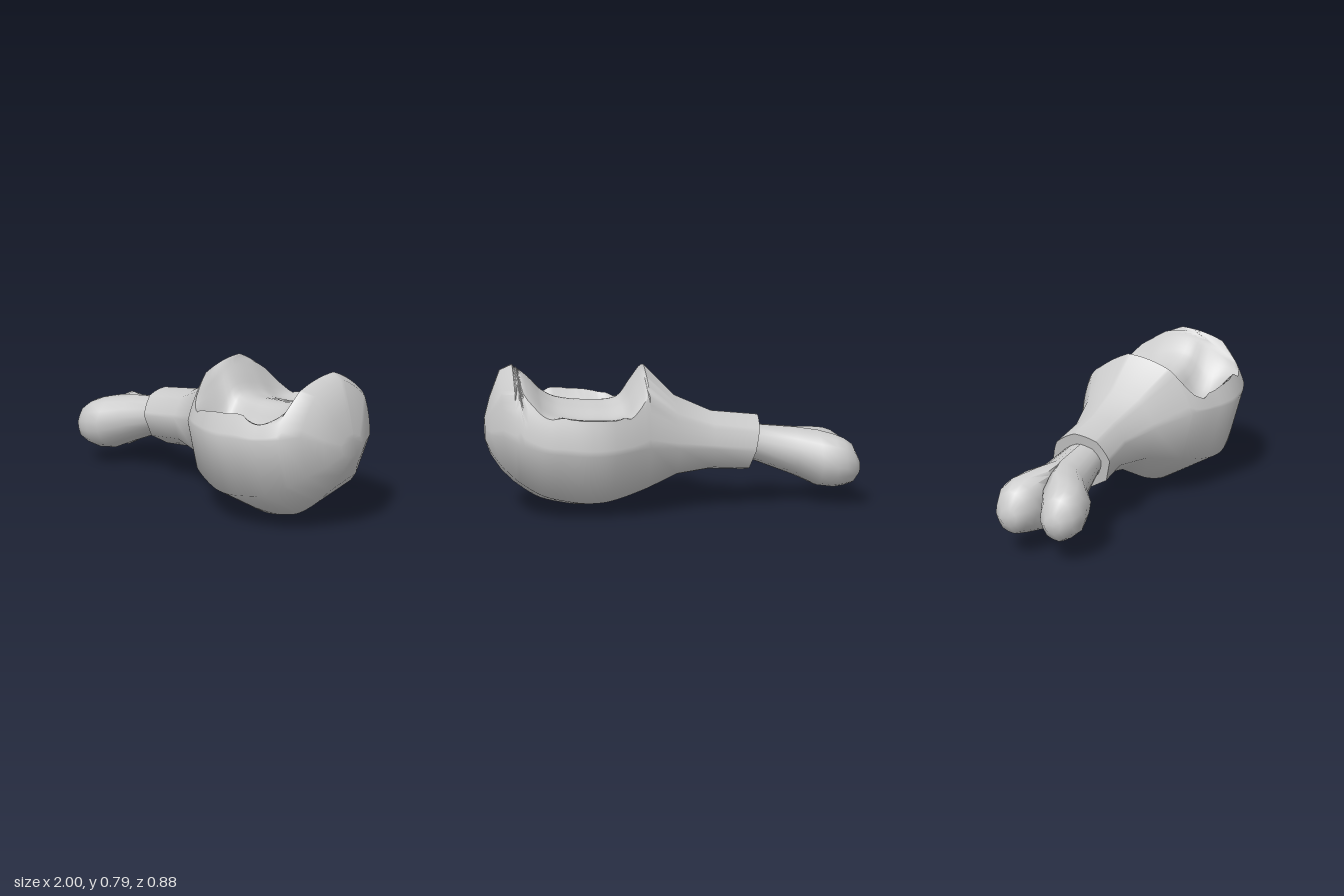
import * as THREE from 'three';
import { toCreasedNormals } from 'three/addons/utils/BufferGeometryUtils.js';

const material = new THREE.MeshStandardMaterial({ color: 0xcccccc });

// Skin closed rings (ordered by rising x) and cap both ends
function loft(rings, crease) {
  const n = rings[0].length, pos = [], index = [];
  rings.forEach(r => r.forEach(p => pos.push(p.x, p.y, p.z)));
  for (let i = 0; i < rings.length - 1; i++) {
    for (let j = 0; j < n; j++) {
      const a = i * n + j, b = i * n + (j + 1) % n;
      index.push(a, a + n, b, b, a + n, b + n);
    }
  }
  [0, rings.length - 1].forEach((row, end) => {
    const c = new THREE.Vector3();
    rings[row].forEach(p => c.addScaledVector(p, 1 / n));
    const centre = pos.length / 3;
    pos.push(c.x, c.y, c.z);
    for (let j = 0; j < n; j++) {
      const a = row * n + j, b = row * n + (j + 1) % n;
      index.push(centre, end ? b : a, end ? a : b);
    }
  });
  const g = new THREE.BufferGeometry();
  g.setAttribute('position', new THREE.Float32BufferAttribute(pos, 3));
  g.setIndex(index);
  return toCreasedNormals(g, crease);
}

// Smooth (Hermite) lookup in a table whose rows start with x
function sample(table, x) {
  const last = table.length - 1;
  let i = 0;
  while (i < last - 1 && x > table[i + 1][0]) i++;
  const a = table[i], b = table[i + 1], h = b[0] - a[0], t = (x - a[0]) / h;
  const slope = (m, k) => {
    const p = table[Math.max(m - 1, 0)], q = table[Math.min(m + 1, last)];
    return (q[k] - p[k]) / (q[0] - p[0]);
  };
  const s = t * t * (3 - 2 * t);
  return a.map((v, k) => v + (b[k] - v) * s
    + h * t * (1 - t) * ((1 - t) * slope(i, k) - t * slope(i + 1, k)));
}

// Point [z, y] on a softly rounded octagon; u counts corners from the front
function octagon(u) {
  const k = Math.floor(u), t = u - k, a = 0.14 + k * Math.PI / 4, b = a + Math.PI / 4;
  const z = Math.cos(a) * (1 - t) + Math.cos(b) * t;
  const y = Math.sin(a) * (1 - t) + Math.sin(b) * t;
  const swell = 0.5 + 0.5 / Math.hypot(z, y);
  return [z * swell, y * swell];
}

// Meat outline: x, top, bottom, back z, front z
const meatOutline = [
  [-0.425, 0.5, 0.187, -0.24, 0.09],
  [-0.2, 0.53, 0.2, -0.245, 0.075],
  [0, 0.62, 0.165, -0.29, 0.16],
  [0.16, 0.785, 0.075, -0.36, 0.31],
  [0.36, 0.84, 0.008, -0.435, 0.41],
  [0.48, 0.85, -0.003, -0.447, 0.44],
  [0.6, 0.85, 0.014, -0.43, 0.435],
  [0.72, 0.83, 0.05, -0.395, 0.41],
  [0.85, 0.795, 0.14, -0.32, 0.36],
  [0.915, 0.765, 0.21, -0.25, 0.285],
  [0.97, 0.62, 0.3, -0.15, 0.18],
  [1, 0.51, 0.39, -0.08, 0.08]
];

// Bite height along x, and its change across z: a shelf behind, a hollow in front
const biteAlong = [[0.16, 0.775], [0.22, 0.69], [0.29, 0.595], [0.45, 0.58], [0.62, 0.6], [0.7, 0.645], [0.77, 0.72], [0.86, 0.8]];
const biteAcross = [[-0.45, -0.04], [-0.38, -0.04], [-0.25, -0.05], [-0.12, -0.01], [0.06, 0], [0.15, -0.12], [0.24, -0.14], [0.37, 0], [0.45, 0.03]];

function biteFloor(x, z) {
  const fade = Math.min(1, (x - 0.16) / 0.14, (0.86 - x) / 0.24);
  return sample(biteAlong, x)[1] + sample(biteAcross, z)[1] * fade
    - 1.5 * (z + 0.02) ** 2 * (1 - fade);
}

function meatRing(x) {
  const [, top, bottom, back, front] = sample(meatOutline, x);
  const shell = u => {
    const [z, y] = octagon(u);
    return new THREE.Vector3(x, (top + bottom) / 2 + y * (top - bottom) / 2,
      (front + back) / 2 + z * (front - back) / 2);
  };
  // Find both rims of the bite
  const bitten = u => { const p = shell(u); return p.y > biteFloor(x, p.z); };
  const open = x > 0.165 && x < 0.85 && bitten(2);
  let u0 = 1, u1 = 3;
  if (open) {
    u0 = 0;
    u1 = 4;
    while (u0 < 2 && !bitten(u0)) u0 += 0.01;
    while (u1 > 2 && !bitten(u1)) u1 -= 0.01;
  }
  const ring = [], side = 6, across = 28;
  const rim0 = shell(u0), rim1 = shell(u1);
  for (let s = 0; s <= side; s++) ring.push(shell(u0 * s / side));
  for (let s = 1; s < across; s++) {
    const p = shell(u0 + (u1 - u0) * s / across);
    if (open) {
      p.z = rim0.z + (rim1.z - rim0.z) * s / across;
      p.y = Math.min(p.y, biteFloor(x, p.z));
    }
    ring.push(p);
  }
  for (let s = 0; s <= side; s++) ring.push(shell(u1 + (4 - u1) * s / side));
  for (let k = 5; k < 8; k++) ring.push(shell(k));
  // The cuff around the bone is cut on a slant
  if (x < -0.4) ring.forEach(p => { p.x += (0.345 - p.y) * 0.22; });
  return ring;
}

function meatGeometry() {
  const xs = meatOutline.map(r => r[0]);
  for (let x = 0.17; x < 0.86; x += 0.02) xs.push(x);
  xs.sort((a, b) => a - b);
  return loft(xs.map(meatRing), 1);
}

// One half of the forked bone: x, centre y, sideways offset, y radius, z radius
const boneOutline = [
  [-1, 0.215, 0.12, 0.045, 0.045],
  [-0.96, 0.23, 0.122, 0.11, 0.09],
  [-0.91, 0.24, 0.12, 0.135, 0.112],
  [-0.86, 0.245, 0.105, 0.15, 0.13],
  [-0.78, 0.255, 0.05, 0.158, 0.172],
  [-0.67, 0.286, 0, 0.137, 0.143],
  [-0.44, 0.343, 0, 0.102, 0.112],
  [-0.28, 0.37, 0, 0.09, 0.1]
];

// Each half stops at the middle plane, where the two grow together
function boneGeometry(side) {
  return loft(boneOutline.map(([x, cy, offset, ry, rz]) =>
    Array.from({ length: 16 }, (_, k) => {
      const [z, y] = octagon(k / 2);
      const out = Math.max(0, offset + side * z * rz);
      return new THREE.Vector3(x, cy + y * ry, -0.07 + side * out);
    })), 1);
}

export function createModel() {
  const group = new THREE.Group();
  group.name = 'bittenDrumstick';
  const add = (geometry, name) => {
    const mesh = new THREE.Mesh(geometry, material);
    mesh.name = name;
    group.add(mesh);
  };
  add(meatGeometry(), 'meat');
  add(boneGeometry(1), 'frontBoneHalf');
  add(boneGeometry(-1), 'backBoneHalf');
  return group;
}
